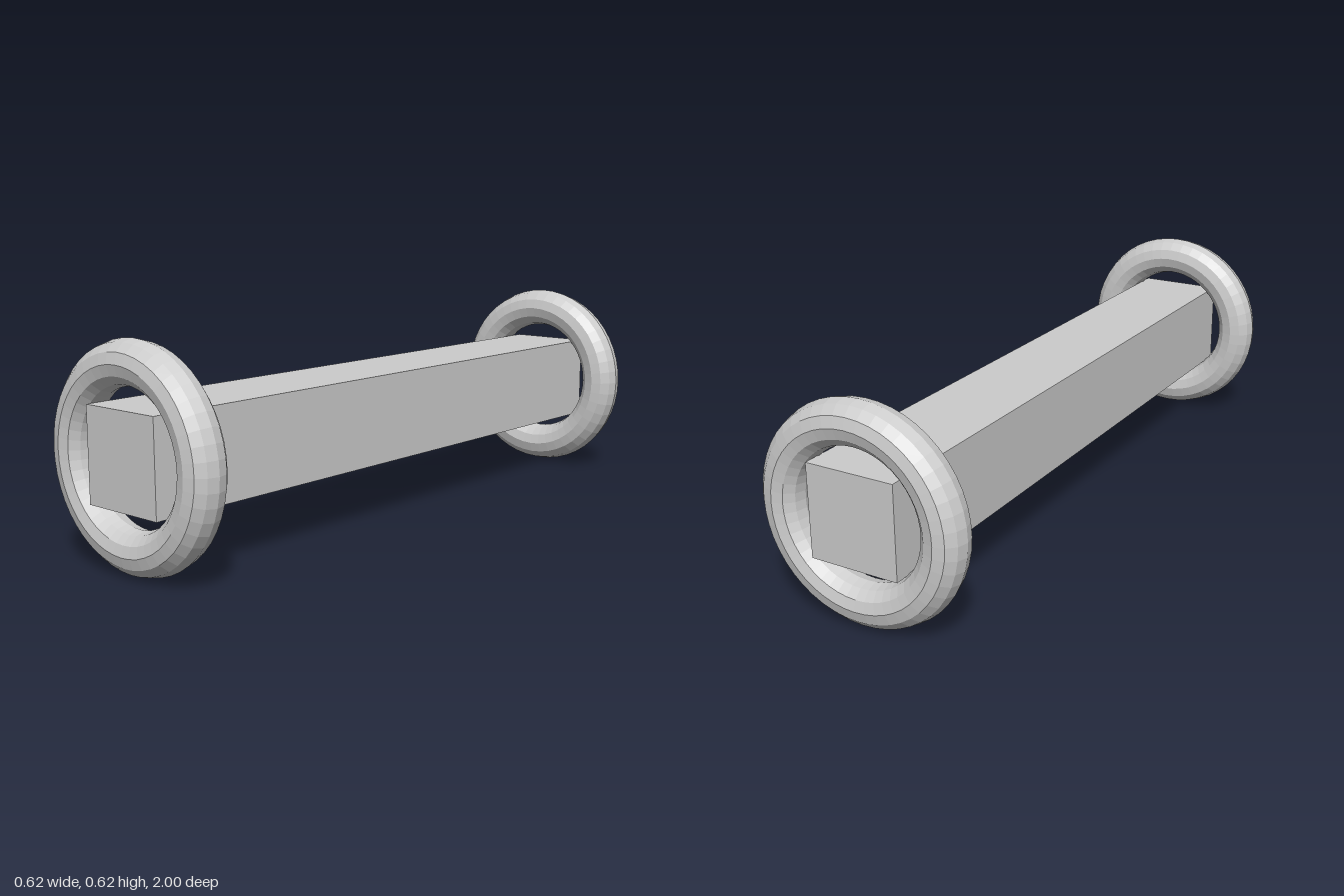
import * as THREE from 'three';

export function createModel() {
  const model = new THREE.Group();
  model.name = 'ringedBar';
  const grey = new THREE.MeshStandardMaterial({ color: 0xcccccc, flatShading: true });
  grey.name = 'plain grey';
  const centreY = 0.31;

  // Square bar running front to back, its ends inside the rings
  const bar = new THREE.Mesh(new THREE.BoxGeometry(0.266, 0.266, 1.98), grey);
  bar.name = 'squareBar';
  bar.position.y = centreY;
  model.add(bar);

  // One faceted ring around each end
  const ringGeometry = new THREE.TorusGeometry(0.248, 0.062, 12, 48);
  for (const [name, side] of [['frontRing', 1], ['backRing', -1]]) {
    const ring = new THREE.Mesh(ringGeometry, grey);
    ring.name = name;
    ring.position.set(0, centreY, side * 0.938);
    model.add(ring);
  }
  return model;
}
